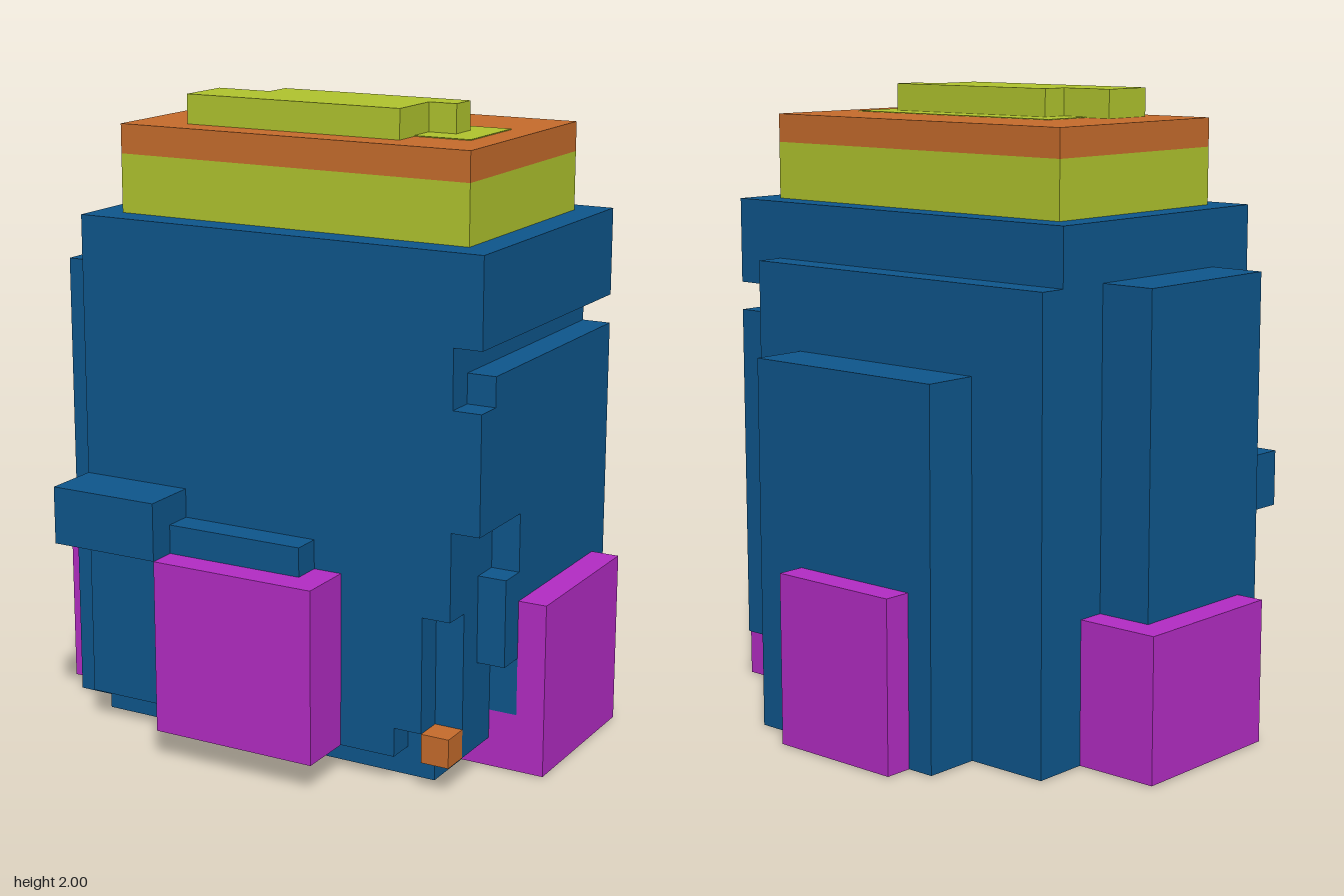
import * as THREE from 'three';

const U = 1 / 11; // one block

const mat = (name, color) => {
  const m = new THREE.MeshStandardMaterial({ color });
  m.name = name;
  return m;
};

export function createModel() {
  const blue = mat('blue', 0x0e568c);
  const magenta = mat('magenta', 0xb32cc4);
  const orange = mat('orange', 0xc66c2c);
  const lime = mat('lime', 0xb0c42e);
  const model = new THREE.Group();
  model.name = 'blockFigure';

  // A named part made of boxes, each given as [x0, x1, y0, y1, z0, z1] in blocks
  function part(name, material, ...boxes) {
    const group = new THREE.Group();
    group.name = name;
    for (const [x0, x1, y0, y1, z0, z1] of boxes) {
      const geo = new THREE.BoxGeometry((x1 - x0) * U, (y1 - y0) * U, (z1 - z0) * U);
      geo.translate((x0 + x1) / 2 * U, (y0 + y1) / 2 * U, (z0 + z1) / 2 * U);
      const mesh = new THREE.Mesh(geo, material);
      mesh.name = name + 'Block';
      group.add(mesh);
    }
    model.add(group);
  }

  // Main body with its stepped lower front edge
  part('body', blue,
    [-6.5, 6.5, 0, 18, -4, 5],
    [-6.5, 6.5, 2, 18, 5, 6],
    [-6.5, 5.5, 1, 2, 5, 6]);

  // Left side layers with the chipped front corner and the slot
  part('leftSideInner', blue,
    [6.5, 7.5, 1, 18, -4, 5],
    [6.5, 7.5, 6, 18, 5, 6]);
  part('leftSideOuter', blue,
    [7.5, 8.5, 15, 18, -4, 6],
    [7.5, 8.5, 13, 14, -4, 5],
    [7.5, 8.5, 9, 13, -4, 6],
    [7.5, 8.5, 7, 9, -4, 3],
    [7.5, 8.5, 4, 7, -4, 4],
    [7.5, 8.5, 2, 4, -4, 3]);

  // Right side panel and stepped back
  part('rightSidePanel', blue, [-8.5, -6.5, 0, 16, -2, 4]);
  part('backPlate', blue, [-6.5, 6.5, 0, 16, -5, -4]);
  part('backPack', blue, [-3.5, 4.5, 0, 13, -7, -5]);

  // Ledges on the front
  part('frontLedge', blue,
    [-6.5, -2.5, 7, 9, 6, 8],
    [-2.5, 2.5, 7, 8, 6, 7]);

  // Magenta pads on the four sides
  part('frontPad', magenta, [-2.5, 3.5, 1, 7, 6, 8]);
  part('backPad', magenta, [-2.5, 2.5, 0, 6, -8, -7]);
  part('rightPad', magenta, [-9.5, -6.5, 0, 5, -3, 3]);
  part('leftPad', magenta,
    [8.5, 9.5, 0, 6, -3, 3],
    [6.5, 8.5, 0, 2, -3, 3]);
  part('undersideSpot', magenta, [1.5, 2.5, -0.03, 0.02, 3, 4]);

  // Small block at the lower front corner
  part('cornerBlock', orange, [6.5, 7.5, 1, 2, 5, 6]);

  // Head with cap, flat inlay and raised crest
  part('headBand', lime, [-5.5, 7.5, 18, 20, -3, 5]);
  part('cap', orange, [-5.5, 7.5, 20, 21, -3, 5]);
  part('capInlay', lime, [-2.5, 6.5, 20.98, 21.03, 0, 3]);
  part('crest', lime,
    [-3.5, 4.5, 21, 22, 2, 4],
    [-1.5, 5.5, 21, 22, 1, 2]);

  return model;
}
